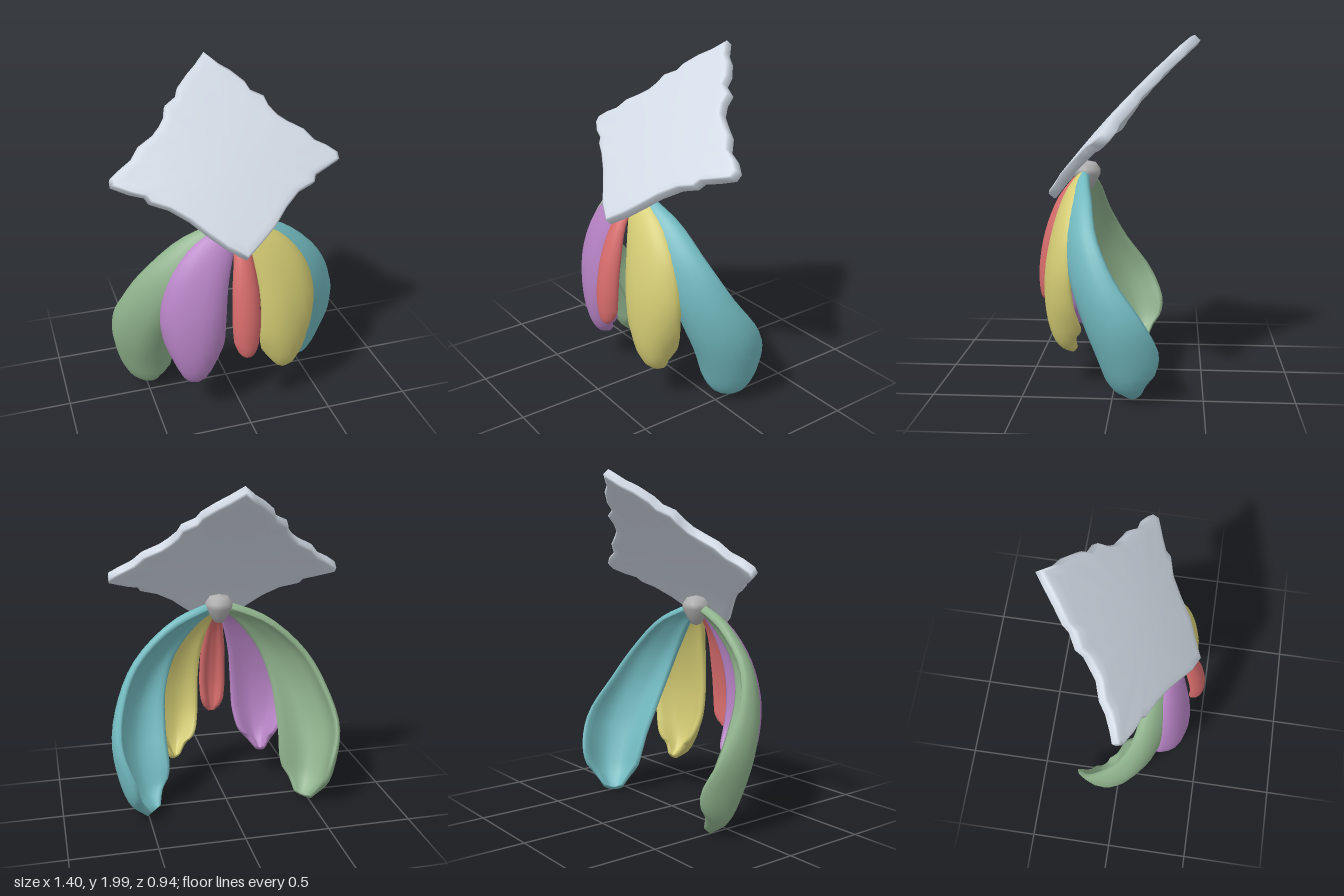
import * as THREE from 'three';
import { mergeVertices } from 'three/addons/utils/BufferGeometryUtils.js';

const mat = (name, color) => {
  const m = new THREE.MeshStandardMaterial({ color });
  m.name = name;
  return m;
};

// Skins a list of closed cross-section loops (arrays of Vector3) with smooth normals.
function skin(rows) {
  const n = rows[0].length, index = [];
  for (let i = 0; i < rows.length - 1; i++) {
    for (let j = 0; j < n; j++) {
      const a = i * n + j, b = i * n + (j + 1) % n;
      index.push(a, b, a + n, b, b + n, a + n);
    }
  }
  const geo = new THREE.BufferGeometry().setFromPoints(rows.flat());
  geo.setIndex(index);
  const merged = mergeVertices(geo, 1e-4);
  merged.computeVertexNormals();
  return merged;
}

function part(name, geo, material) {
  const mesh = new THREE.Mesh(geo, material);
  mesh.name = name;
  return mesh;
}

// Trough-shaped petal: spine rows are [x, y, z, halfWidth, rimDepth, halfThickness];
// the petal faces azimuth a0 at the top and a1 at the tip. side mirrors it in x.
function petal(spine, a0, a1, side) {
  const path = new THREE.CatmullRomCurve3(spine.map(p => new THREE.Vector3(p[0] * side, p[1], p[2])));
  const size = new THREE.CatmullRomCurve3(spine.map(p => new THREE.Vector3(p[3], p[4], p[5])));
  const rows = [], steps = 24, around = 24;
  for (let i = 0; i <= steps; i++) {
    const k = i / steps;
    const c = path.getPoint(k), s = size.getPoint(k);
    const az = THREE.MathUtils.degToRad(THREE.MathUtils.lerp(a0, a1, Math.min(1, k * 1.4))) * side;
    const across = new THREE.Vector3(Math.cos(az), 0, -Math.sin(az));
    const out = path.getTangent(k).cross(across).normalize();
    const row = [];
    for (let j = 0; j < around; j++) {
      const t = j / around * Math.PI * 2, u = Math.cos(t), sin = Math.sin(t);
      // flat base with rims curling back, thickened along the section's own normal
      const normal = new THREE.Vector2(3 * s.y * u * Math.abs(u), s.x).normalize();
      const h = s.z * Math.sign(sin) * Math.sqrt(Math.abs(sin));
      row.push(c.clone()
        .addScaledVector(across, s.x * u + normal.x * h)
        .addScaledVector(out, -s.y * Math.abs(u) ** 3 + normal.y * h));
    }
    rows.push(row);
  }
  // close both ends
  rows.unshift(rows[0].map(() => path.getPoint(0)));
  rows.push(rows[rows.length - 1].map(() => path.getPoint(1)));
  return skin(rows);
}

// Tilted, slightly domed square sheet with ragged edges, outlined clockwise from its top corner.
function sheet() {
  const half = [
    [0.07, 1.93], [0.13, 1.895], [0.2, 1.84], [0.22, 1.8], [0.295, 1.765], [0.31, 1.72],
    [0.35, 1.675], [0.4, 1.64], [0.49, 1.595], [0.54, 1.54], [0.61, 1.505], [0.67, 1.465],
    [0.67, 1.435], [0.58, 1.405], [0.5, 1.385], [0.48, 1.355], [0.38, 1.325], [0.28, 1.265],
    [0.19, 1.19], [0.1, 1.125],
  ];
  const outline = [[0, 1.985], ...half, [0, 1.065], ...half.slice().reverse().map(([x, y]) => [-x, y])];
  const rings = [[0, 0.03], [0.3, 0.03], [0.6, 0.03], [0.88, 0.031], [0.97, 0.03], [1, 0.022]];
  const profile = [...rings, ...rings.slice().reverse().map(([s, h]) => [s, -h])];
  const midY = 1.47;
  const rows = profile.map(([s, h]) => outline.map(([x, y], j) => {
    const px = x * s, py = midY + (y - midY) * s;
    const dome = 0.06 * (1 - (px / 0.67) ** 2 - ((py - midY) / 0.5) ** 2);
    const ripple = 0.006 * Math.sin(j * 2.1) * s ** 12;
    const z = 0.37 - 0.896 * (py - 1.07) + dome + ripple;
    return new THREE.Vector3(px, py + h * 0.67, z + h * 0.74);
  }));
  return skin(rows);
}

export function createModel() {
  const model = new THREE.Group();
  const silver = mat('pale silver', 0xd2dae5);
  const grey = mat('grey', 0xaeaeae);
  const red = mat('coral red', 0xd86c6c);
  const yellow = mat('soft yellow', 0xd4cc74);
  const purple = mat('soft purple', 0xb884c6);
  const teal = mat('teal', 0x72bac0);
  const green = mat('sage green', 0x8fb28c);

  model.add(part('sheet', sheet(), silver));

  // tapered hub where all petals meet
  const hubProfile = [[0, -0.1], [0.03, -0.09], [0.055, -0.05], [0.08, 0], [0.082, 0.03], [0.055, 0.068], [0, 0.08]];
  const hub = part('hub', new THREE.LatheGeometry(hubProfile.map(p => new THREE.Vector2(...p)), 20), grey);
  hub.position.set(0, 1.2, 0.185);
  model.add(hub);

  const centre = [
    [0, 1.2, 0.22, 0.03, 0.01, 0.02], [0, 1.05, 0.33, 0.045, 0.025, 0.025],
    [0, 0.85, 0.405, 0.068, 0.045, 0.03], [0, 0.65, 0.44, 0.072, 0.055, 0.03],
    [0, 0.53, 0.44, 0.062, 0.055, 0.03], [0, 0.465, 0.432, 0.04, 0.035, 0.025],
    [0, 0.44, 0.42, 0.015, 0.01, 0.012],
  ];
  const inner = [
    [0.04, 1.21, 0.2, 0.05, 0.01, 0.02], [0.16, 1.1, 0.26, 0.125, 0.03, 0.028],
    [0.26, 0.92, 0.315, 0.17, 0.05, 0.03], [0.305, 0.7, 0.355, 0.185, 0.075, 0.03],
    [0.305, 0.5, 0.36, 0.17, 0.1, 0.03], [0.295, 0.34, 0.335, 0.125, 0.125, 0.03],
    [0.285, 0.26, 0.295, 0.085, 0.1, 0.028], [0.28, 0.22, 0.235, 0.03, 0.03, 0.016],
  ];
  const outer = [
    [0.04, 1.21, 0.19, 0.05, 0.01, 0.025], [0.22, 1.12, 0.2, 0.11, 0.03, 0.03],
    [0.42, 0.92, 0.205, 0.155, 0.055, 0.03], [0.54, 0.7, 0.165, 0.185, 0.1, 0.03],
    [0.605, 0.46, 0.075, 0.21, 0.15, 0.03], [0.595, 0.25, -0.005, 0.19, 0.175, 0.03],
    [0.545, 0.1, -0.05, 0.15, 0.13, 0.03], [0.48, 0.025, -0.1, 0.06, 0.04, 0.018],
  ];

  model.add(part('centrePetal', petal(centre, 0, 0, 1), red));
  model.add(part('leftInnerPetal', petal(inner, 15, 18, 1), yellow));
  model.add(part('rightInnerPetal', petal(inner, 15, 18, -1), purple));
  model.add(part('leftOuterPetal', petal(outer, 22, 50, 1), teal));
  model.add(part('rightOuterPetal', petal(outer, 22, 50, -1), green));
  return model;
}
